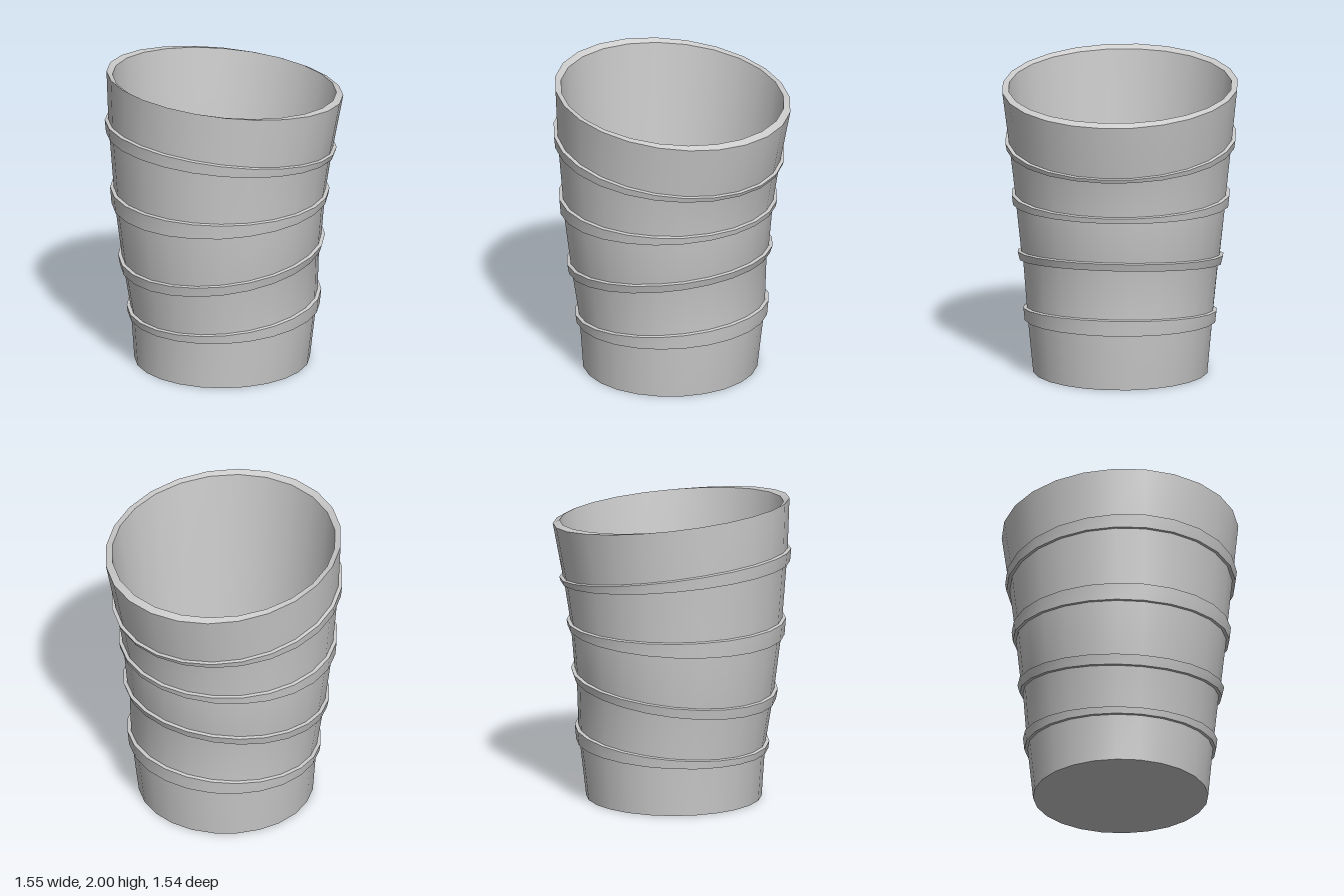
import * as THREE from 'three';
import { toCreasedNormals } from 'three/addons/utils/BufferGeometryUtils.js';

const SIDES = 24;

// A tilted ring is given by its left and right extremes: [xLeft, yLeft, xRight, yRight]
function ringPoint([xl, yl, xr, yr], j) {
  const a = (j % SIDES) * Math.PI * 2 / SIDES;
  const t = (1 + Math.cos(a)) / 2;
  return [xl + (xr - xl) * t, yl + (yr - yl) * t, -Math.sin(a) * (xr - xl) / 2];
}

// Skin a series of tilted rings; rings of zero width become cap centres
function loft(name, rings, material) {
  const pos = [];
  for (let i = 0; i + 1 < rings.length; i++) {
    const lo = rings[i], up = rings[i + 1];
    for (let j = 0; j < SIDES; j++) {
      const a = ringPoint(lo, j), b = ringPoint(lo, j + 1);
      const c = ringPoint(up, j + 1), d = ringPoint(up, j);
      if (lo[0] !== lo[2]) pos.push(...a, ...b, ...c);
      if (up[0] !== up[2]) pos.push(...a, ...c, ...d);
    }
  }
  const geo = new THREE.BufferGeometry();
  geo.setAttribute('position', new THREE.Float32BufferAttribute(pos, 3));
  const mesh = new THREE.Mesh(toCreasedNormals(geo, 0.5), material);
  mesh.name = name;
  return mesh;
}

// Wall rings under the bands, as bottom / top pairs
const bands = [
  [[-0.605, 0.31, 0.60, 0.375], [-0.61, 0.36, 0.608, 0.485]],
  [[-0.658, 0.635, 0.615, 0.815], [-0.668, 0.71, 0.63, 0.87]],
  [[-0.715, 1.075, 0.652, 1.14], [-0.722, 1.195, 0.657, 1.18]],
  [[-0.75, 1.58, 0.697, 1.42], [-0.756, 1.675, 0.705, 1.45]],
];

export function createModel() {
  const group = new THREE.Group();
  group.name = 'cup';
  const material = new THREE.MeshStandardMaterial({ color: 0xcccccc });

  // Hollow wall: underside, outside, rim, inside and floor
  group.add(loft('cupBody', [
    [-0.015, 0, -0.015, 0],
    [-0.585, 0, 0.555, 0],
    ...bands.flat(),
    [-0.763, 2.0, 0.775, 1.80],
    [-0.725, 1.975, 0.73, 1.825],
    [-0.63, 0.67, 0.59, 0.84],
    [-0.57, 0.03, 0.54, 0.03],
    [-0.015, 0.03, -0.015, 0.03],
  ], material));

  // Tilted raised bands, with a slightly sloping top ledge
  bands.forEach(([b, t], i) => {
    const grow = ([xl, yl, xr, yr], d, dy) => [xl - d, yl + dy, xr + d, yr + dy];
    const inner = grow(b, -0.008, 0);
    group.add(loft('band' + (i + 1), [
      inner, grow(b, 0.021, 0), grow(t, 0.023, -0.006), grow(t, -0.008, 0), inner,
    ], material));
  });
  return group;
}
